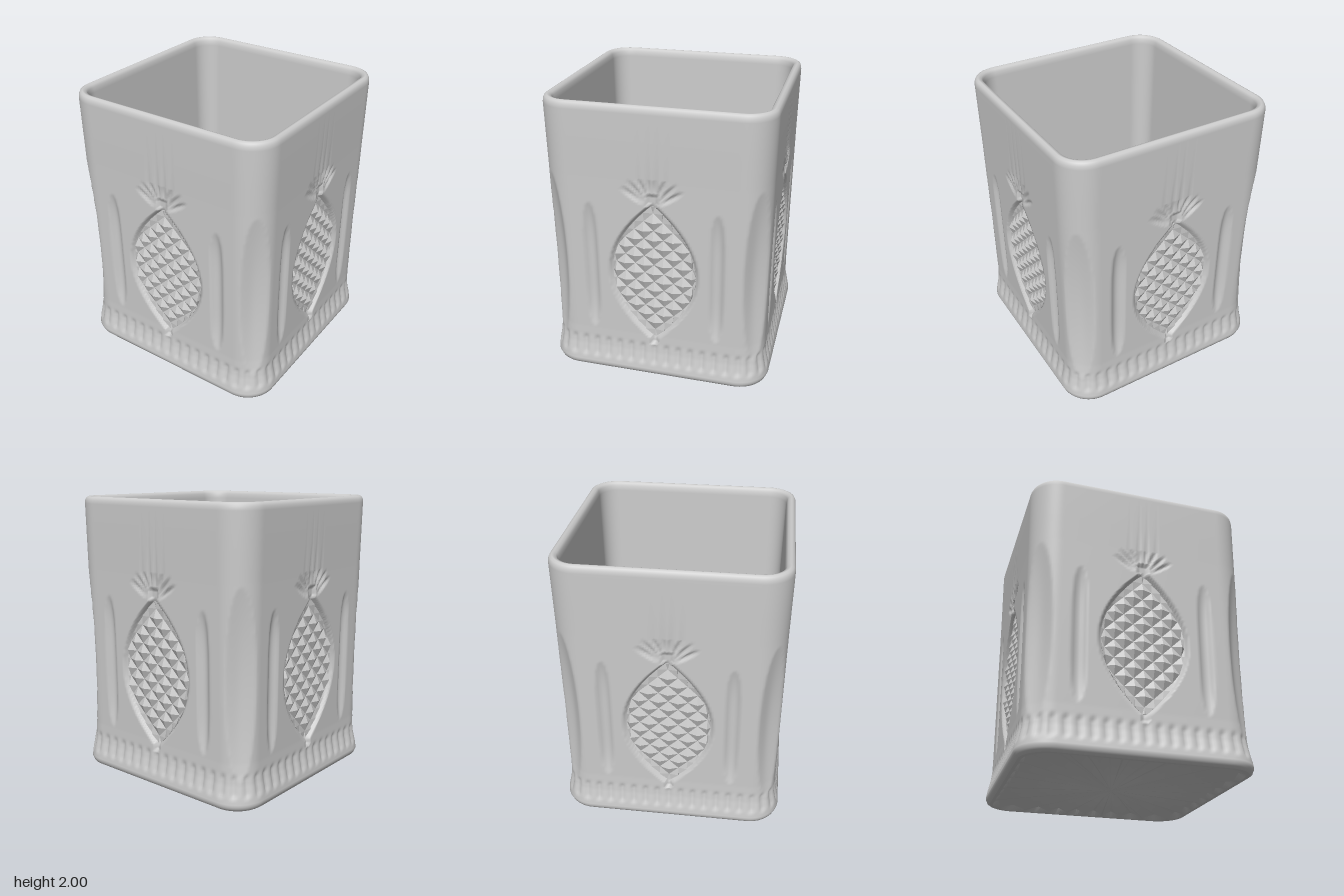
import * as THREE from 'three';
import { mergeGeometries, toCreasedNormals } from 'three/addons/utils/BufferGeometryUtils.js';

const C = 0.575;                       // flat half-length of each side; the corners round outside it
const LENS = { y: 0.815, h: 0.525, w: 0.3, depth: 0.032 };
const SIDE_LENGTH = 2 * C + 0.2 * Math.PI / 2;
const clamp01 = (v) => Math.min(1, Math.max(0, v));

// outer half-width against height
const OUTER = [[0, 0.765], [0.012, 0.783], [0.04, 0.795], [0.1, 0.787], [0.18, 0.77], [0.25, 0.762],
  [0.32, 0.76], [1.5, 0.77], [1.95, 0.777], [1.975, 0.774], [1.992, 0.765], [2, 0.75]];
const INNER = [[2, 0.742], [1.992, 0.725], [1.975, 0.715], [1.94, 0.71], [1.1, 0.7], [0.3, 0.685], [0.24, 0.675], [0.2, 0.65]];

function halfWidth(y) {
  const i = Math.max(1, OUTER.findIndex((p) => p[0] >= y));
  const [a, b] = [OUTER[i - 1], OUTER[i]];
  return a[1] + (b[1] - a[1]) * (y - a[0]) / (b[0] - a[0]);
}

// columns round the square: u on the flat, angle a on the rounded corner
function makeColumns() {
  const local = [];
  for (let i = 0; i < 10; i++) local.push({ u: -C, a: -Math.PI / 4 * (1 - i / 10) });
  for (let i = 0; i <= 80; i++) local.push({ u: -C + 2 * C * i / 80, a: 0 });
  for (let i = 1; i < 10; i++) local.push({ u: C, a: Math.PI / 4 * i / 10 });
  const all = [];
  for (let k = 0; k < 4; k++) for (const p of local) all.push({ ...p, k });
  return all;
}
const columns = makeColumns();

function place({ u, a, k }, half, y) {
  const r = half - C, x = u + Math.sin(a) * r, z = C + Math.cos(a) * r;
  const c = Math.round(Math.cos(k * Math.PI / 2)), s = Math.round(Math.sin(k * Math.PI / 2));
  return [x * c + z * s, y, -x * s + z * c];
}

const lensWidth = (y) => LENS.w * Math.max(0, 1 - ((y - LENS.y) / LENS.h) ** 2);

// depth of every cut in the outer wall
function cutDepth({ u, a }, y) {
  let d = 0;
  const s = u + a * 0.2, ax = Math.abs(u);
  // slim upright flutes
  const t = (y - 0.825) / 0.49, q = (ax - 0.44) / 0.052;
  d = Math.max(d, 0.03 * (1 - q * q - t ** 4));
  // broad corner flutes
  const ct = (y - 0.84) / 0.645, cq = (Math.PI / 4 - Math.abs(a)) / 0.56;
  if (a !== 0) d = Math.max(d, 0.045 * (1 - cq * cq - ct * ct));
  // base ribs
  const window = clamp01((y - 0.085) / 0.03) * clamp01((0.255 - y) / 0.03);
  d = Math.max(d, 0.014 * window * (0.5 + 0.5 * Math.cos(34 * Math.PI * s / SIDE_LENGTH)) ** 2);
  if (a !== 0) return d;
  // lens recess
  const w = lensWidth(y);
  if (w > 0) d = Math.max(d, LENS.depth * clamp01((w + 0.012 - ax) / 0.018));
  // stem notches at both tips
  if (ax < 0.03 && Math.abs(y - 1.37) < 0.03) d = Math.max(d, 0.022);
  if (ax < 0.025 && Math.abs(y - 0.28) < 0.025) d = Math.max(d, 0.022);
  // crown of fanned grooves
  const dx = ax, dy = y - 1.31, r = Math.hypot(dx, dy), ang = Math.atan2(dx, dy);
  for (const leaf of [0.14, 0.43, 0.72, 0.98]) {
    const along = (r - 0.155) / 0.1, across = (ang - leaf) * r / 0.018;
    if (dy > 0) d = Math.max(d, 0.016 * (1 - along * along - across * across));
  }
  return d;
}

// skin a list of closed rings
function loft(rings) {
  const n = rings[0].length, index = [];
  for (let j = 0; j < rings.length - 1; j++) for (let i = 0; i < n; i++) {
    const a = j * n + i, b = j * n + (i + 1) % n;
    index.push(a, b, b + n, a, b + n, a + n);
  }
  const geo = new THREE.BufferGeometry();
  geo.setAttribute('position', new THREE.Float32BufferAttribute(rings.flat(2), 3));
  geo.setIndex(index);
  geo.computeVertexNormals();
  return geo;
}

// outer wall, rounded rim, inner wall and floor in one skin
function bodyGeometry() {
  const ys = [0, 0.012, 0.025];
  for (let y = 0.04; y < 1.53; y += 0.014) ys.push(y);
  ys.push(1.7, 1.95, 1.975, 1.992, 2);
  const rings = ys.map((y) => columns.map((c) => place(c, halfWidth(y) - cutDepth(c, y), y)));
  for (const [y, half] of INNER) rings.push(columns.map((c) => place(c, half, y)));
  for (const f of [0.96, 0.5, 0]) rings.push(columns.map((c) => {
    const p = place(c, 0.65, 0.18);
    return [p[0] * f, p[1], p[2] * f];
  }));
  return loft(rings);
}

// underside cut with rays from the centre
function undersideGeometry() {
  const rings = [0, 0.15, 0.4, 0.7, 0.93, 0.97, 1].map((f) => columns.map((c) => {
    const p = place(c, 0.765, 0);
    const turn = Math.atan2(p[0], p[2]) / (2 * Math.PI) * 32 + 64;
    const groove = 1 - Math.abs((turn % 1) * 2 - 1);
    const y = f > 0.95 ? 0 : 0.008 + 0.035 * groove * Math.min(1, f * 2);
    return [p[0] * f, y, p[2] * f];
  }));
  return toCreasedNormals(loft(rings), 0.3);
}

// field of diamond pyramids, trimmed to the lens outline
function diamondGeometry() {
  const W = 0.067, H = 0.065, pos = [];
  const trim = (x, y) => {
    const yy = Math.min(LENS.y + LENS.h - 0.02, Math.max(LENS.y - LENS.h + 0.02, y));
    const w = Math.max(0, lensWidth(yy) - 0.008);
    return [Math.min(w, Math.max(-w, x)), yy];
  };
  const depth = (y, d) => halfWidth(y) - d;
  for (let j = -8; j <= 8; j++) for (let i = -5; i <= 5; i++) {
    if ((i + j) % 2) continue;
    const x = i * W, y = LENS.y + j * H;
    if (Math.abs(x) > lensWidth(y) + W * 0.8) continue;
    const inside = Math.abs(x) < lensWidth(y) - 0.01;
    const [ax, ay] = trim(x, y);
    const apex = [ax, ay, depth(ay, inside ? 0.004 : 0.02)];
    const rim = [[W, 0], [0, H], [-W, 0], [0, -H]].map(([dx, dy]) => {
      const [px, py] = trim(x + dx, y + dy);
      return [px, py, depth(py, LENS.depth - 0.003)];
    });
    rim.forEach((p, k) => pos.push(...apex, ...p, ...rim[(k + 1) % 4]));
  }
  const geo = new THREE.BufferGeometry();
  geo.setAttribute('position', new THREE.Float32BufferAttribute(pos, 3));
  geo.computeVertexNormals();
  return geo;
}

export function createModel() {
  const group = new THREE.Group();
  group.name = 'squareCutTumbler';
  const smooth = new THREE.MeshStandardMaterial({ color: 0xcccccc });
  const faceted = new THREE.MeshStandardMaterial({ color: 0xcccccc, flatShading: true });
  const add = (name, geo, mat) => {
    const mesh = new THREE.Mesh(geo, mat);
    mesh.name = name;
    group.add(mesh);
  };
  add('body', bodyGeometry(), smooth);
  add('rayedUnderside', undersideGeometry(), smooth);
  const diamonds = diamondGeometry();
  const panels = [0, 1, 2, 3].map((k) => diamonds.clone().rotateY(k * Math.PI / 2));
  add('diamondPanels', mergeGeometries(panels), faceted);
  return group;
}
